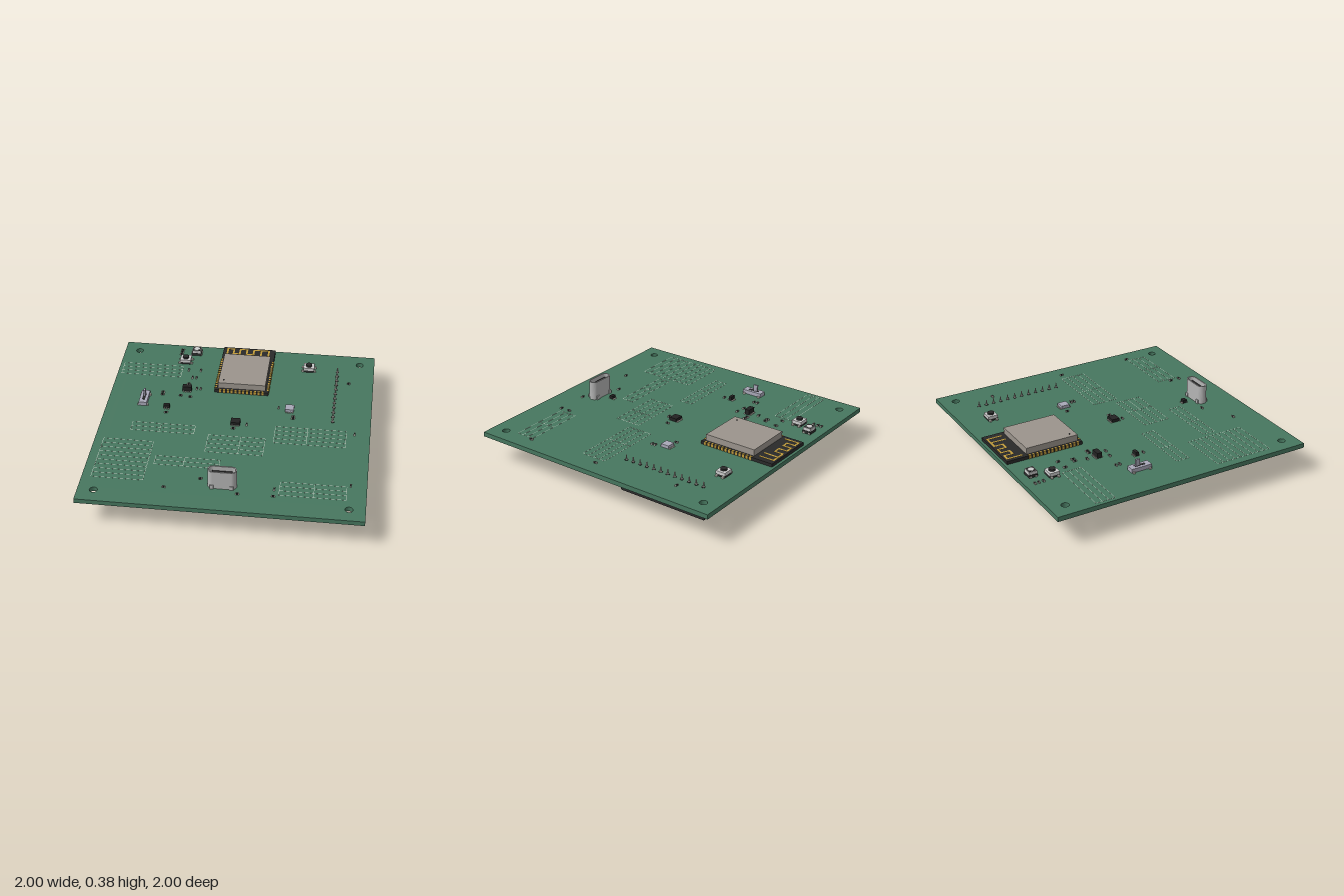
import * as THREE from 'three';

const TOP = 0.24, BOT = 0.205;
const C = {
  board: 0x47775f, silk: 0xb4c0b4, black: 0x2a2a2a, chip: 0x222222, metal: 0xb4b4b4, shield: 0x9b948c,
  gold: 0xc09a3a, cream: 0xd8cfb8, white: 0xdcdcd8, lilac: 0xa9a8b8, pin: 0xc8c4bc
};
const mats = {};
const mat = (c) => (mats[c] ??= new THREE.MeshStandardMaterial({ color: c, side: THREE.DoubleSide }));

function add(parent, name, geo, color, x = 0, y = 0, z = 0) {
  const m = new THREE.Mesh(geo, mat(color));
  m.name = name;
  m.position.set(x, y, z);
  parent.add(m);
  return m;
}
// Box given by centre x/z, its bottom y and its size
const box = (parent, name, color, x, y, z, w, h, d) =>
  add(parent, name, new THREE.BoxGeometry(w, h, d), color, x, y + h / 2, z);
const cyl = (parent, name, color, x, y, z, r, h, n = 20) =>
  add(parent, name, new THREE.CylinderGeometry(r, r, h, n), color, x, y + h / 2, z);
function group(parent, name, x, y, z) {
  const g = new THREE.Group();
  g.name = name;
  g.position.set(x, y, z);
  parent.add(g);
  return g;
}
// Upright prism of a shape drawn in x/z
function prism(parent, name, shape, h, color, x, y, z) {
  const geo = new THREE.ExtrudeGeometry(shape, { depth: h, bevelEnabled: false, curveSegments: 14 });
  return add(parent, name, geo.rotateX(-Math.PI / 2), color, x, y, z);
}
function stadium(path, w, d) {
  const r = d / 2, s = w / 2 - r;
  path.moveTo(-s, -r);
  path.lineTo(s, -r);
  path.absarc(s, 0, r, -Math.PI / 2, Math.PI / 2, false);
  path.lineTo(-s, r);
  path.absarc(-s, 0, r, Math.PI / 2, Math.PI * 1.5, false);
  return path;
}

function circuitBoard(g) {
  const s = new THREE.Shape([[-1, -1], [1, -1], [1, 1], [-1, 1]].map((p) => new THREE.Vector2(...p)));
  for (const x of [-0.885, 0.885]) for (const z of [-0.885, 0.885])
    s.holes.push(new THREE.Path().absarc(x, z, 0.028, 0, Math.PI * 2, true));
  prism(g, 'circuitBoard', s, TOP - BOT, C.board, 0, BOT, 0);
  // Printed table rules: x0, x1, first z, step, lines, divider x
  const tables = [
    [-0.97, -0.5, -0.7, 0.049, 4], [-0.76, -0.29, 0.07, 0.049, 3, -0.545], [-0.935, -0.565, 0.295, 0.0495, 10],
    [-0.52, -0.055, 0.455, 0.048, 3, -0.31], [-0.18, 0.24, 0.165, 0.05, 5, 0.06],
    [0.3, 0.825, 0.005, 0.049, 5, 0.54], [0.395, 0.86, 0.645, 0.048, 4, 0.635]
  ];
  for (const [x0, x1, z0, dz, n, div] of tables) {
    const len = dz * (n - 1);
    for (let i = 0; i < n; i++)
      box(g, 'printedRule', C.silk, (x0 + x1) / 2, TOP, z0 + i * dz, x1 - x0, 0.0008, 0.003);
    for (const x of [x0, x1, div]) if (x !== undefined)
      box(g, 'printedDivider', C.silk, x, TOP, z0 + len / 2, 0.003, 0.0008, len);
  }
}

function radioModule(g) {
  const m = group(g, 'radioModule', 0, TOP, -0.68);
  box(m, 'moduleBoard', C.black, -0.002, 0, 0, 0.415, 0.025, 0.6);
  box(m, 'shieldCan', C.shield, -0.002, 0.025, 0.07, 0.365, 0.048, 0.41);
  cyl(m, 'shieldDot', C.black, -0.145, 0.073, 0.23, 0.008, 0.001, 12);
  // Edge contacts
  for (let i = 0; i < 14; i++) for (const s of [-1, 1])
    box(m, 'edgeContact', C.gold, -0.002 + s * 0.202, -0.001, -0.12 + i * 0.0295, 0.016, 0.0275, 0.016);
  for (let i = 0; i < 12; i++)
    box(m, 'endContact', C.gold, -0.165 + i * 0.0297, -0.001, 0.295, 0.016, 0.0275, 0.014);
  // Meander antenna
  const path = [[-0.175, -0.17], [-0.175, -0.28], [-0.125, -0.28], [-0.125, -0.215], [-0.075, -0.215], [-0.075, -0.28],
    [-0.02, -0.28], [-0.02, -0.215], [0.035, -0.215], [0.035, -0.28], [0.155, -0.28], [0.155, -0.17]];
  const trace = (a, b) => box(m, 'antennaTrace', C.gold, (a[0] + b[0]) / 2, 0.025, (a[1] + b[1]) / 2,
    Math.abs(a[0] - b[0]) + 0.014, 0.001, Math.abs(a[1] - b[1]) + 0.014);
  for (let i = 1; i < path.length; i++) trace(path[i - 1], path[i]);
  trace([0.095, -0.28], [0.095, -0.17]);
}

function usbSocket(g) {
  const u = group(g, 'usbSocket', -0.003, TOP, 0.735);
  const shell = stadium(new THREE.Shape(), 0.205, 0.076);
  shell.holes.push(stadium(new THREE.Path(), 0.188, 0.058));
  prism(u, 'shell', shell, 0.145, C.metal, 0, 0, 0);
  prism(u, 'shellFloor', stadium(new THREE.Shape(), 0.19, 0.06), 0.03, C.black, 0, 0, 0);
  box(u, 'tongue', C.black, 0, 0.03, 0, 0.14, 0.095, 0.016);
  for (const x of [-0.07, 0.07]) for (const z of [-0.04, 0.04])
    box(u, 'mountTab', C.metal, x, 0, z, 0.025, 0.03, 0.01);
}

function pushButton(g, x) {
  const b = group(g, 'pushButton', x, TOP, -0.773);
  box(b, 'base', C.black, 0, 0, 0, 0.08, 0.016, 0.074);
  box(b, 'cover', C.white, 0, 0.016, 0, 0.084, 0.022, 0.076);
  cyl(b, 'plunger', C.black, 0, 0.038, 0, 0.024, 0.014);
  for (const s of [-1, 1]) for (const z of [-0.026, 0.026])
    box(b, 'leg', C.pin, s * 0.045, 0, z, 0.022, 0.012, 0.016);
}

function statusLight(g) {
  const l = group(g, 'statusLight', -0.42, TOP, -0.9);
  box(l, 'base', C.black, 0, 0, 0, 0.076, 0.022, 0.066);
  box(l, 'body', C.white, 0, 0.022, 0, 0.07, 0.022, 0.064);
  box(l, 'face', C.black, 0, 0.044, 0, 0.06, 0.001, 0.056);
  cyl(l, 'lens', 0xc4c4c0, 0, 0.044, 0, 0.022, 0.002);
  for (const s of [-1, 1]) for (const z of [-0.022, 0.022])
    box(l, 'contact', C.pin, s * 0.037, 0, z, 0.012, 0.012, 0.014);
}

function slideSwitch(g) {
  const s = group(g, 'slideSwitch', -0.725, TOP, -0.215);
  box(s, 'case', C.lilac, 0, 0.004, 0, 0.062, 0.03, 0.16);
  box(s, 'slot', C.black, 0, 0.034, 0, 0.022, 0.001, 0.085);
  box(s, 'lever', C.lilac, 0, 0.03, -0.018, 0.014, 0.054, 0.034);
  for (const z of [-0.065, 0.065]) for (const x of [-0.034, 0.034])
    box(s, 'foot', C.pin, x, 0, z, 0.014, 0.012, 0.018);
}

// Packaged chip with rows of leads on its z sides
function chip(g, name, x, z, w, d, h, leads, color = C.chip) {
  const c = group(g, name, x, TOP, z);
  box(c, 'package', color, 0, 0.003, 0, w, h, d);
  for (let i = 0; i < leads; i++) for (const s of [-1, 1])
    box(c, 'lead', C.pin, (i + 0.5 - leads / 2) * (w / leads), 0, s * (d / 2 + 0.004), (w / leads) * 0.45, 0.007, 0.012);
}

function passive(g, x, z, upright) {
  const p = group(g, 'passivePart', x, TOP, z);
  box(p, 'body', C.black, 0, 0, 0, 0.014, 0.011, 0.012);
  for (const s of [-1, 1]) box(p, 'terminal', C.pin, s * 0.01, 0, 0, 0.006, 0.0115, 0.0125);
  if (upright) p.rotation.y = Math.PI / 2;
}

function pinSocket(g) {
  const h = group(g, 'pinSocket', 0.715, 0, 0);
  box(h, 'housing', C.black, 0, 0.003, -0.432, 0.056, BOT - 0.003, 0.716);
  for (let i = 0; i < 12; i++) {
    const z = -0.765 + i * 0.06;
    cyl(h, 'solderPad', C.black, 0, TOP, z, 0.014, 0.002, 16);
    cyl(h, 'solderFillet', C.pin, 0, TOP, z, 0.009, 0.006, 10);
    box(h, 'pin', C.pin, 0, 0.2, z, 0.009, 0.078, 0.005);
    box(h, 'contactHole', 0x111111, 0, 0, z, 0.02, 0.004, 0.02);
  }
}

// Upright plug socket under the board, open downward with a cut front
function plugSocket(g, z) {
  const s = group(g, 'plugSocket', -0.595, BOT, z);
  const side = new THREE.Shape([[0.034, 0], [0.034, -0.1], [-0.002, -0.1], [-0.034, -0.066], [-0.034, 0]]
    .map(([a, b]) => new THREE.Vector2(-a, b)));
  for (const x of [-0.064, 0.064]) {
    const geo = new THREE.ExtrudeGeometry(side, { depth: 0.016, bevelEnabled: false });
    add(s, 'sideWall', geo.translate(0, 0, -0.008).rotateY(Math.PI / 2), C.cream, x, 0, 0);
  }
  box(s, 'rearWall', C.cream, 0, -0.1, 0.029, 0.115, 0.1, 0.01);
  box(s, 'frontWall', C.cream, 0, -0.066, -0.029, 0.115, 0.066, 0.01);
  box(s, 'floor', C.cream, 0, -0.03, 0, 0.115, 0.03, 0.055);
  for (const x of [-0.03, 0.03]) box(s, 'contactPin', C.pin, x, -0.085, 0, 0.011, 0.06, 0.011);
}

// Low side-entry socket under the board, opening toward the front
function sideSocket(g, x) {
  const s = group(g, 'sideSocket', x, BOT, 0.465);
  box(s, 'upperWall', C.cream, 0, -0.02, 0, 0.13, 0.018, 0.125);
  box(s, 'lowerWall', C.cream, 0, -0.075, 0, 0.09, 0.014, 0.125);
  box(s, 'rearBlock', C.cream, 0, -0.065, -0.035, 0.115, 0.05, 0.05);
  for (const k of [-1, 1]) {
    box(s, 'cheek', C.cream, k * 0.05, -0.068, 0, 0.02, 0.058, 0.125);
    box(s, 'mountTab', C.pin, k * 0.072, -0.025, 0.03, 0.026, 0.025, 0.05);
  }
  for (let i = 0; i < 4; i++) {
    const px = (i - 1.5) * 0.023;
    box(s, 'contactPin', C.pin, px, -0.044, 0.02, 0.008, 0.008, 0.07);
    box(s, 'solderTail', C.pin, px, -0.01, -0.07, 0.01, 0.01, 0.03);
  }
}

export function createModel() {
  const g = new THREE.Group();
  g.name = 'controlBoard';
  circuitBoard(g);
  radioModule(g);
  usbSocket(g);
  for (const x of [-0.49, 0.49]) pushButton(g, x);
  statusLight(g);
  slideSwitch(g);
  chip(g, 'sensorChip', 0, 0, 0.07, 0.06, 0.024, 5);
  chip(g, 'driverChip', -0.42, -0.378, 0.07, 0.038, 0.04, 4);
  chip(g, 'regulatorChip', -0.54, -0.135, 0.045, 0.024, 0.03, 3);
  chip(g, 'protectionChip', -0.012, 0.615, 0.036, 0.03, 0.025, 3);
  chip(g, 'audioChip', 0.385, -0.215, 0.066, 0.066, 0.024, 4, C.lilac);
  // Small resistors and capacitors: x, z
  const flat = [[-0.54, -0.93], [-0.54, -0.9], [-0.54, -0.865], [-0.42, -0.46], [-0.385, -0.29], [-0.46, -0.3],
    [-0.6, -0.33], [-0.6, -0.3], [-0.535, -0.07], [0.42, -0.13], [0.42, -0.105], [-0.01, 0.07], [0.81, -0.61],
    [0.36, 0.81], [0.11, 0.815], [-0.165, 0.68], [-0.405, 0.8]];
  const turned = [[-0.45, -0.65], [-0.355, -0.655], [-0.405, -0.55], [-0.375, -0.55], [-0.35, -0.405], [-0.32, -0.405],
    [0.3, -0.23], [0.085, 0.01], [0.885, 0.035], [0.885, 0.635], [0.36, 0.735]];
  for (const [x, z] of flat) passive(g, x, z, false);
  for (const [x, z] of turned) passive(g, x, z, true);
  // Parts below the board
  pinSocket(g);
  for (let i = 0; i < 6; i++) plugSocket(g, 0.033 + i * 0.128);
  for (const x of [-0.045, 0.675]) sideSocket(g, x);
  return g;
}
